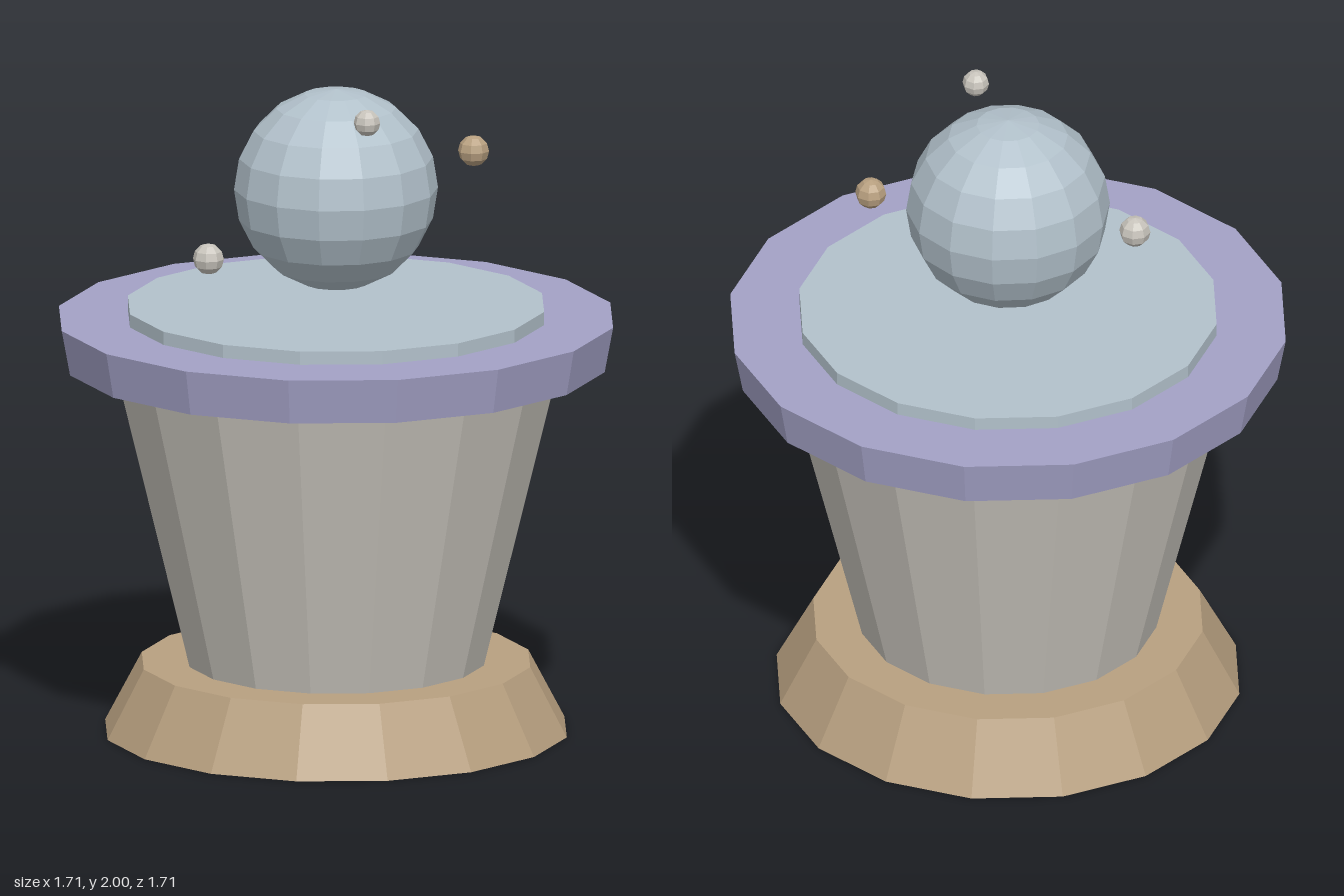
import * as THREE from 'three';

export function createModel() {
  const group = new THREE.Group();
  const material = (name, color) => {
    const m = new THREE.MeshStandardMaterial({ color, flatShading: true });
    m.name = name;
    return m;
  };
  const stone = material('pale stone', 0xc8c4bc);
  const wood = material('tan base', 0xb8a080);
  const violet = material('violet rim', 0xa3a1c6);
  const water = material('pale blue', 0xb2c1cb);

  // Sixteen-sided tapered tiers, stacked from the ground up
  const tier = (name, mat, rTop, rBottom, y0, y1) => {
    const mesh = new THREE.Mesh(new THREE.CylinderGeometry(rTop, rBottom, y1 - y0, 16), mat);
    mesh.name = name;
    mesh.position.y = (y0 + y1) / 2;
    group.add(mesh);
  };
  tier('base', wood, 0.6, 0.713, 0, 0.215);
  tier('pedestal', stone, 0.685, 0.457, 0.215, 1.147);
  tier('rim', violet, 0.856, 0.83, 1.147, 1.287);
  tier('topDisc', water, 0.643, 0.643, 1.287, 1.328);

  // Floating orb and its small satellites
  const orb = (name, mat, r, x, y, z, sides, rings) => {
    const mesh = new THREE.Mesh(new THREE.SphereGeometry(r, sides, rings), mat);
    mesh.name = name;
    mesh.position.set(x, y, z);
    mesh.rotation.y = Math.PI / 2;
    group.add(mesh);
  };
  orb('orb', water, 0.311, 0, 1.689, 0, 14, 10);
  orb('upperSatellite', stone, 0.041, 0.14, 1.959, 0.257, 8, 6);
  orb('sideSatellite', wood, 0.048, 0.4, 1.789, -0.145, 8, 6);
  orb('lowerSatellite', stone, 0.048, -0.358, 1.503, 0.21, 8, 6);

  return group;
}
